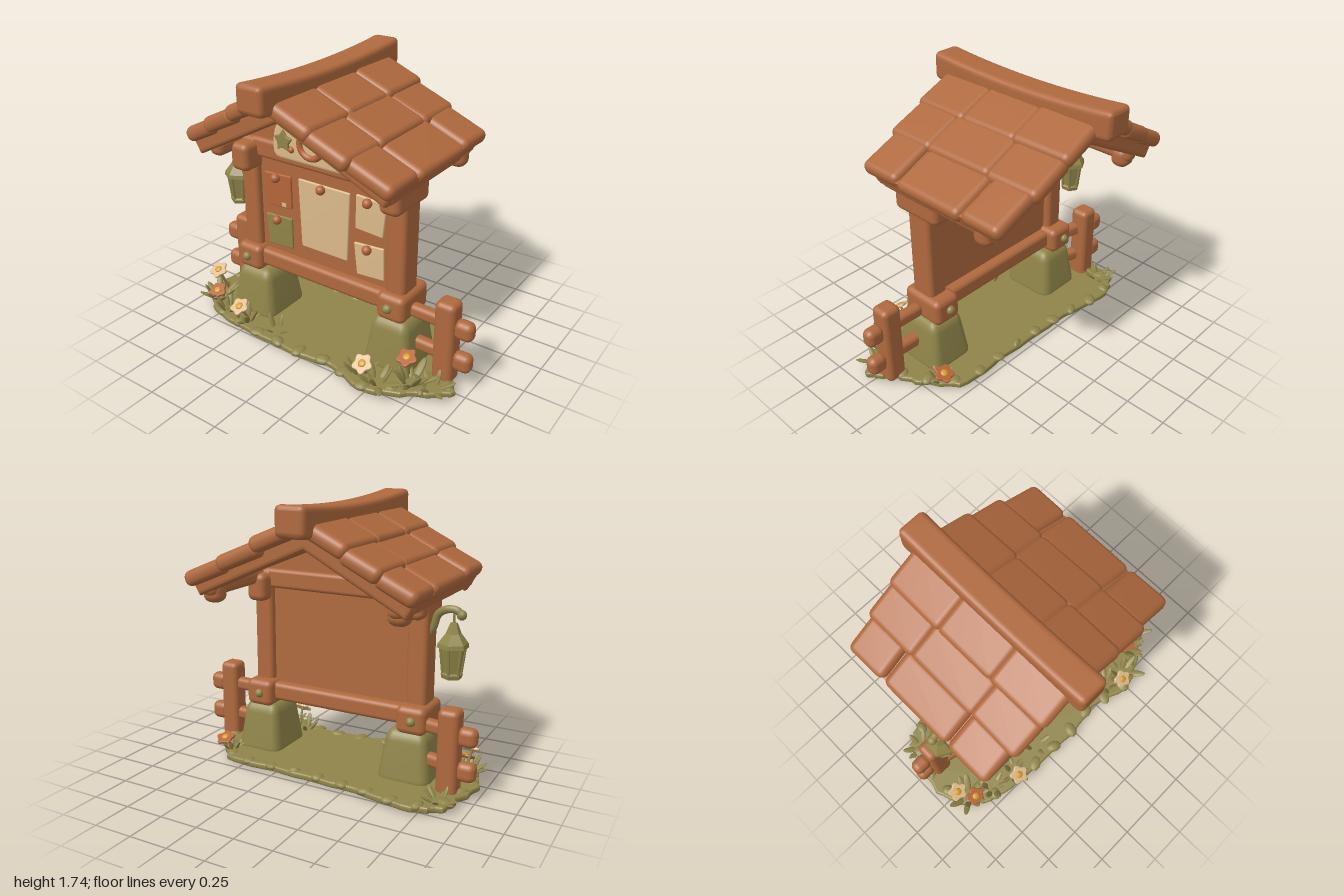
import * as THREE from 'three';
import { RoundedBoxGeometry } from 'three/addons/geometries/RoundedBoxGeometry.js';
import { mergeVertices } from 'three/addons/utils/BufferGeometryUtils.js';

const mat = (name, color) => Object.assign(new THREE.MeshStandardMaterial({ color }), { name });

export function createModel() {
  const root = new THREE.Group();
  const wood = mat('wood', 0xaf693e), moss = mat('moss', 0x8f8449), cream = mat('cream', 0xdcba8a);
  const clay = mat('clay', 0xb5653a), gold = mat('gold', 0xd89c2c);
  let seed = 7;
  const rnd = (a, b) => { seed = (seed * 16807) % 2147483647; return a + (b - a) * seed / 2147483647; };

  const add = (name, geo, m, x = 0, y = 0, z = 0, parent = root) => {
    const o = new THREE.Mesh(geo, m);
    o.name = name;
    o.position.set(x, y, z);
    parent.add(o);
    return o;
  };
  const soft = (w, h, d, r = 0.03) => new RoundedBoxGeometry(w, h, d, 3, Math.min(r, w / 2.1, h / 2.1, d / 2.1));
  // Rounded box given by its limits
  const block = (name, m, x0, x1, y0, y1, z0, z1, r) =>
    add(name, soft(x1 - x0, y1 - y0, z1 - z0, r), m, (x0 + x1) / 2, (y0 + y1) / 2, (z0 + z1) / 2);
  const bend = (geo, rule) => {
    geo.deleteAttribute('normal');
    geo.deleteAttribute('uv');
    const g = mergeVertices(geo, 1e-4), p = g.attributes.position, v = new THREE.Vector3();
    for (let i = 0; i < p.count; i++) {
      rule(v.fromBufferAttribute(p, i));
      p.setXYZ(i, v.x, v.y, v.z);
    }
    g.computeVertexNormals();
    return g;
  };
  const poly = pts => new THREE.Shape(pts.map(([x, y]) => new THREE.Vector2(x, y)));
  const extrude = (shape, depth, bevel = 0, steps = 1) => new THREE.ExtrudeGeometry(shape, {
    depth: depth - 2 * bevel, steps, curveSegments: 10, bevelEnabled: bevel > 0,
    bevelSize: bevel, bevelThickness: bevel, bevelOffset: -bevel, bevelSegments: 3,
  }).translate(0, 0, bevel - depth / 2);

  // Ground patch
  const rim = [[-0.96, 0.2], [-0.93, -0.05], [-0.87, -0.22], [-0.72, -0.29], [-0.3, -0.24], [0.2, -0.22], [0.6, -0.2],
    [0.75, -0.03], [0.84, 0.14], [0.94, 0.3], [0.72, 0.46], [0.5, 0.57], [0.25, 0.5], [0, 0.52], [-0.5, 0.5], [-0.82, 0.42]];
  const curve = new THREE.CatmullRomCurve3(rim.map(([x, z]) => new THREE.Vector3(x, z, 0)), true);
  const outline = curve.getPoints(90).slice(0, -1).map((p, i) => {
    const k = 1 + 0.012 * Math.sin(i * 1.9) + 0.008 * Math.sin(i * 0.8);
    return [p.x * k, 0.15 + (p.y - 0.15) * k];
  });
  add('ground', extrude(poly(outline), 0.04, 0.014).rotateX(Math.PI / 2), moss, 0, 0.02, 0);

  // Mounds, posts, joints and pegs on both sides
  for (const [x, w] of [[-0.575, 1], [0.5, 0.93]]) {
    const mound = bend(soft(0.35, 0.36, 0.38, 0.07), v => {
      const t = (v.y + 0.18) / 0.36;
      v.x *= (1.02 - 0.3 * t) * w;
      v.z *= 1.05 - 0.3 * t;
    });
    add('mound', mound, moss, x + (x < 0 ? 0.035 : 0), 0.17, 0.16);
    block('post', wood, x - 0.065, x + 0.065, 0.3, 1.24, 0.08, 0.25);
    block('postJoint', wood, x - 0.095, x + 0.095, 0.335, 0.51, 0, 0.3, 0.04);
    block('postBracket', wood, x - 0.06, x + 0.075, 1.04, 1.22, 0, 0.35, 0.04);
    for (const z of [0, 0.3]) add('peg', new THREE.SphereGeometry(0.03, 12, 8), moss, x - 0.01, 0.425, z);
  }

  // Board and its cross beams
  block('boardPanel', wood, -0.54, 0.48, 0.45, 1.16, 0.125, 0.205, 0.01);
  block('lowerBeam', wood, -0.66, 0.58, 0.37, 0.49, 0.06, 0.26);
  block('upperBeam', wood, -0.56, 0.5, 1.12, 1.245, 0.085, 0.245, 0.025);
  add('gablePanel', extrude(poly([[-0.68, 1.22], [0.58, 1.22], [-0.11, 1.56]]), 0.1), wood, 0, 0, 0.165);

  // Pinned notices
  for (const [x, y, w, h, a, m] of [[-0.02, 0.815, 0.36, 0.45, 0, cream], [-0.365, 0.92, 0.2, 0.22, 0.05, clay],
    [-0.365, 0.64, 0.2, 0.21, 0.05, moss], [0.31, 0.935, 0.2, 0.22, -0.06, cream], [0.31, 0.64, 0.2, 0.21, 0.07, cream]]) {
    const sheet = bend(soft(w, h, 0.018, 0.008), v => { v.x += 0.04 * v.y * Math.sign(v.x); });
    add('notice', sheet, m, x, y, 0.213).rotation.z = a;
    add('pin', new THREE.SphereGeometry(0.03, 14, 10), clay, x - 0.01, y + h / 2 - 0.025, 0.235);
  }
  add('noticeMark', new THREE.BoxGeometry(0.035, 0.025, 0.006), cream, -0.32, 0.835, 0.224);

  // Gable sign with horseshoe, star and leaf
  const sign = new THREE.Shape();
  sign.moveTo(-0.27, 1.18);
  sign.lineTo(0.19, 1.18);
  sign.quadraticCurveTo(0.25, 1.18, 0.25, 1.24);
  sign.quadraticCurveTo(0.25, 1.33, 0.17, 1.38);
  sign.lineTo(0.02, 1.465);
  sign.quadraticCurveTo(-0.05, 1.505, -0.14, 1.475);
  sign.lineTo(-0.28, 1.4);
  sign.quadraticCurveTo(-0.33, 1.37, -0.33, 1.24);
  sign.quadraticCurveTo(-0.33, 1.18, -0.27, 1.18);
  add('sign', extrude(sign, 0.07, 0.02), cream, 0, 0, 0.265);
  const shoe = add('horseshoe', new THREE.TorusGeometry(0.078, 0.02, 8, 28, Math.PI * 1.55), clay, -0.045, 1.31, 0.3);
  shoe.rotation.z = Math.PI * 0.725;
  for (const s of [-1, 1]) add('horseshoeTip', new THREE.SphereGeometry(0.026, 10, 8), clay, -0.045 + s * 0.06, 1.37, 0.3);
  const star = [...Array(10)].map((_, i) => {
    const r = i % 2 ? 0.042 : 0.068, a = Math.PI / 2 + i * Math.PI / 5;
    return [r * Math.cos(a), r * Math.sin(a)];
  });
  add('star', extrude(poly(star), 0.02, 0.005), moss, -0.24, 1.3, 0.305);
  const leafMark = new THREE.Shape();
  leafMark.moveTo(0.05, 0.07);
  leafMark.bezierCurveTo(0.09, -0.06, 0.03, -0.08, -0.05, -0.055);
  leafMark.bezierCurveTo(-0.09, 0.02, -0.04, 0.07, 0.05, 0.07);
  add('leafMark', extrude(leafMark, 0.02, 0.005), moss, 0.14, 1.3, 0.305);
  for (const [x, y] of [[-0.04, 1.43], [-0.185, 1.255], [0.2, 1.25]])
    add('signDot', new THREE.SphereGeometry(0.02, 10, 8), clay, x, y, 0.3);

  // Roof deck and barge boards
  const chevron = (drop, cut) => poly([[-0.8, 1.265], [-0.5, 1.42], [-0.16, 1.61], [0.22, 1.44], [0.63, 1.265],
    [0.6 - cut, 1.265 - drop], [0.2, 1.43 - drop], [-0.14, 1.58 - drop], [-0.48, 1.4 - drop], [-0.77 + cut, 1.265 - drop]]);
  add('roofDeck', extrude(chevron(0.07, 0), 0.92, 0.015), wood);
  for (const z of [-0.44, 0.44]) add('bargeBoard', extrude(chevron(0.1, 0.03), 0.1, 0.025), wood, 0, -0.005, z);
  for (const x of [-0.66, 0.54]) {
    block('eaveBeam', wood, x - 0.05, x + 0.05, 1.15, 1.25, -0.45, 0.45, 0.04);
    block('eaveBeamEnd', wood, x - 0.065, x + 0.065, 1.105, 1.24, -0.43, -0.31, 0.05);
  }

  // Three courses of shingle boards on each slope
  for (const [x0, y0, slope, edges] of [[-0.24, 1.63, 0.565, [-0.17, -0.43, -0.62, -0.81]], [-0.07, 1.63, 0.485, [-0.14, 0.15, 0.385, 0.63]]]) {
    const dir = Math.sign(edges[3]);
    for (let r = 0; r < 3; r++) {
      const a = edges[r] - dir * 0.035, b = edges[r + 1];
      const mid = (a + b) / 2, top = y0 - Math.abs(mid - x0) * slope;
      const cuts = [[-0.57, -0.19, 0.2, 0.57], [-0.56, -0.22, 0.24, 0.56], [-0.55, -0.265, 0.24, 0.54]][r];
      for (let i = 0; i < 3; i++) {
        const len = cuts[i + 1] - cuts[i];
        const g = bend(soft(Math.abs(b - a) * 1.13, 0.095, len + (r < 2 ? 0.025 : -0.008), 0.042), v => {
          v.y += 0.006 * Math.cos(v.z * 8);
        });
        const o = add('shingle', g, wood, mid + rnd(-0.006, 0.006), top - 0.05 + rnd(-0.006, 0.006), (cuts[i] + cuts[i + 1]) / 2);
        o.rotation.z = -dir * (Math.atan(slope) - 0.06);
        o.rotation.y = rnd(-0.02, 0.02);
      }
    }
  }

  // Sagging ridge log
  const ridge = new THREE.Shape(), hw = 0.093, hh = 0.088, rr = 0.04;
  ridge.moveTo(-hw + rr, -hh);
  for (const [cx, cy, nx, ny] of [[hw, -hh, hw, -hh + rr], [hw, hh, hw - rr, hh], [-hw, hh, -hw, hh - rr], [-hw, -hh, -hw + rr, -hh]]) {
    ridge.lineTo(cx + (cx === nx ? -Math.sign(cx) * rr : 0), cy + (cy === ny ? -Math.sign(cy) * rr : 0));
    ridge.quadraticCurveTo(cx, cy, nx, ny);
  }
  add('ridgeLog', bend(extrude(ridge, 1.34, 0.03, 14), v => { v.y += 0.035 * (v.z / 0.67) ** 2 - 0.033; }), wood, -0.163, 1.648, 0);

  // Side fences
  for (const [s, z, z1] of [[-1, 0.02, 0.09], [1, 0.185, 0.175]]) {
    block('fencePost', wood, s * 0.827 - 0.065, s * 0.827 + 0.065, 0.01, 0.55, z - 0.065, z + 0.065, 0.035);
    for (const [y, inner] of [[0.39, 0.58], [0.175, 0.6]]) {
      const rail = add('fenceRail', soft(0.9 - inner, 0.085, 0.075, 0.03), wood, s * (0.9 + inner) / 2, y + 0.01, (z + z1) / 2);
      rail.rotation.y = s * Math.atan2(z1 - z, 0.3);
      block('railEnd', wood, s * 0.935 - 0.06, s * 0.935 + 0.06, y - 0.06, y + 0.06, z - 0.045, z + 0.045, 0.04);
    }
  }

  // Lantern on a curled hook
  const hook = new THREE.CatmullRomCurve3([[-0.62, 0.93, 0.15], [-0.655, 0.99, 0.14], [-0.685, 1.07, 0.13], [-0.74, 1.105, 0.12],
    [-0.8, 1.105, 0.12], [-0.83, 1.08, 0.12]].map(p => new THREE.Vector3(...p)));
  add('lanternHook', new THREE.TubeGeometry(hook, 24, 0.024, 8), moss);
  add('hookTip', new THREE.SphereGeometry(0.03, 10, 8), moss, -0.83, 1.08, 0.12);
  add('lanternLink', new THREE.CylinderGeometry(0.007, 0.007, 0.1, 6), moss, -0.785, 1.06, 0.12);
  const lathe = pts => new THREE.LatheGeometry(pts.map(p => new THREE.Vector2(...p)), 6).toNonIndexed();
  const flat = g => { g.computeVertexNormals(); return g; };
  add('lanternCap', flat(lathe([[0, 0.885], [0.095, 0.885], [0.09, 0.91], [0.045, 0.97], [0.022, 1.03], [0, 1.035]])), moss, -0.785, 0, 0.12);
  add('lanternBody', flat(lathe([[0, 0.7], [0.06, 0.7], [0.066, 0.725], [0.054, 0.735], [0.074, 0.89], [0, 0.89]])), moss, -0.785, 0, 0.12);
  for (let i = 0; i < 6; i++) {
    const a = i * Math.PI / 3;
    const bar = add('lanternBar', new THREE.CylinderGeometry(0.009, 0.009, 0.17, 6), moss, -0.785 + 0.064 * Math.sin(a), 0.81, 0.12 + 0.064 * Math.cos(a));
    bar.rotation.set(0.12 * Math.cos(a), 0, -0.12 * Math.sin(a));
  }

  // Leaf tufts
  const blade = new THREE.SphereGeometry(1, 8, 8).translate(0, 0.9, 0);
  for (const [x, z, n, size] of [[-0.84, 0.33, 11, 0.075], [-0.68, 0.4, 7, 0.06], [-0.5, 0.43, 7, 0.055], [-0.27, 0.4, 4, 0.05],
    [0.4, 0.45, 7, 0.055], [0.54, 0.47, 8, 0.065], [0.7, 0.36, 11, 0.075], [0.83, 0.33, 6, 0.06], [0.66, -0.08, 7, 0.055], [-0.83, -0.14, 8, 0.055]]) {
    for (let i = 0; i < n; i++) {
      const turn = i / n * Math.PI * 2 + rnd(-0.3, 0.3), k = size * rnd(0.75, 1.15);
      const leaf = add('leaf', blade, moss, x + 0.03 * Math.sin(turn), 0.025, z + 0.03 * Math.cos(turn));
      leaf.rotation.set(rnd(0.35, 1.25), turn, 0, 'YXZ');
      leaf.scale.set(k * 0.32, k, k * 0.13);
    }
  }

  // Low clumps along the rim
  for (let i = 0; i < 26; i++) {
    const p = curve.getPointAt(i / 26);
    const o = add('clump', new THREE.SphereGeometry(1, 10, 6), moss, p.x * 0.95, 0.03, 0.15 + (p.y - 0.15) * 0.93);
    o.scale.set(rnd(0.035, 0.06), rnd(0.018, 0.03), rnd(0.025, 0.045));
    o.rotation.y = rnd(0, 3);
  }

  // Flowers
  const petals = new THREE.Shape([...Array(40)].map((_, i) => {
    const a = i / 40 * Math.PI * 2, r = 0.057 + 0.008 * Math.cos(5 * a);
    return new THREE.Vector2(r * Math.cos(a), r * Math.sin(a));
  }));
  for (const [x, y, z, m, tilt] of [[-0.88, 0.21, 0.28, cream, 0.55], [-0.81, 0.115, 0.37, clay, 0.5], [-0.51, 0.16, 0.48, cream, 0.55],
    [0.47, 0.165, 0.52, cream, 0.65], [0.675, 0.205, 0.37, clay, 0.4], [0.68, 0.12, -0.13, clay, -0.4]]) {
    const f = new THREE.Group();
    f.name = 'flower';
    f.position.set(x, y, z);
    f.rotation.x = tilt;
    root.add(f);
    add('petals', extrude(petals, 0.018, 0.006).rotateX(-Math.PI / 2), m, 0, 0, 0, f);
    add('flowerHeart', new THREE.SphereGeometry(0.024, 12, 8).scale(1, 0.45, 1), gold, 0, 0.009, 0, f);
    const stem = new THREE.LineCurve3(new THREE.Vector3(x, y, z), new THREE.Vector3(x * 0.97, 0.02, z - 0.07 * Math.sign(tilt)));
    add('stem', new THREE.TubeGeometry(stem, 2, 0.009, 6), moss);
  }
  return root;
}
